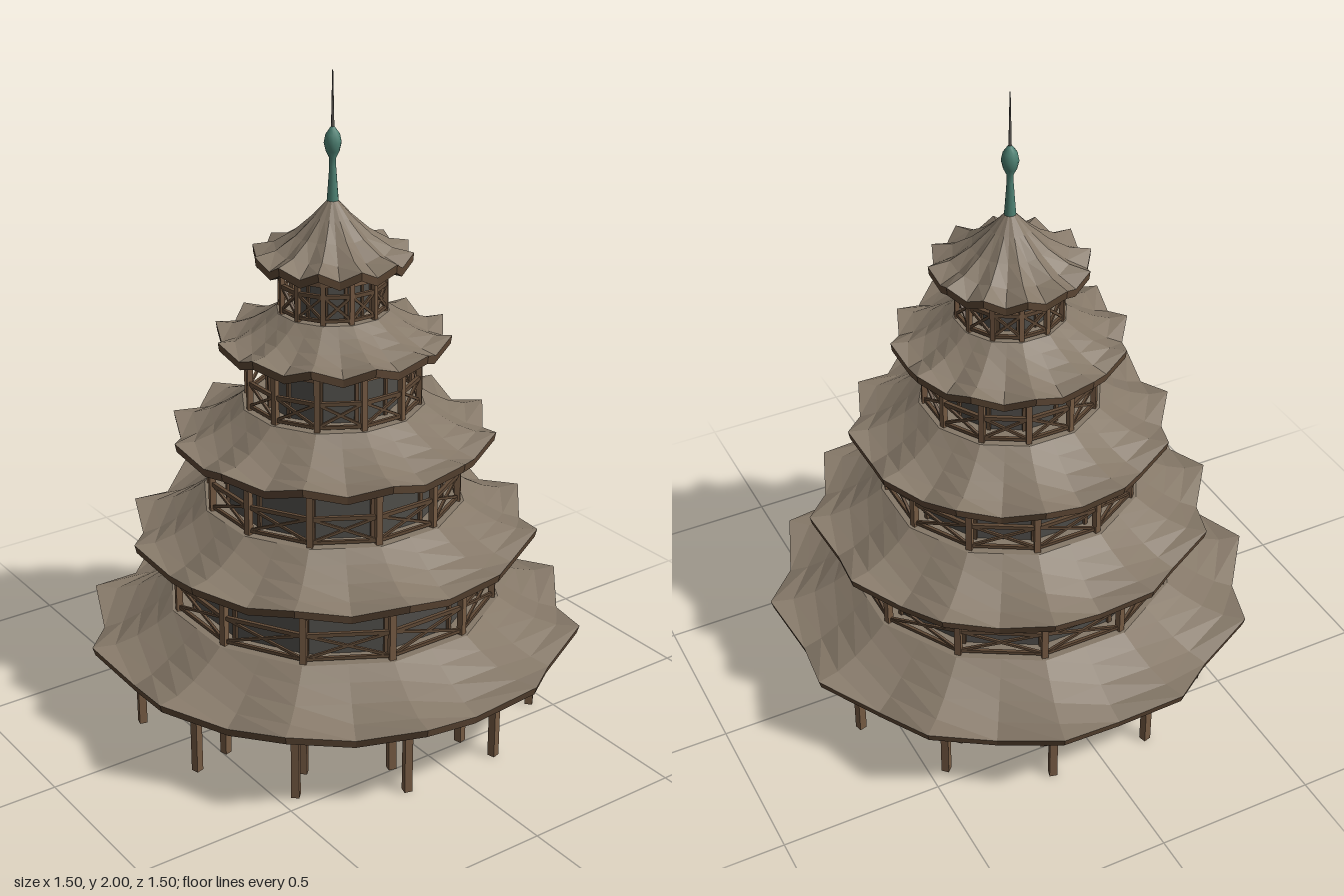
import * as THREE from 'three';
import { mergeGeometries } from 'three/addons/utils/BufferGeometryUtils.js';

const SIDES = 12;
const STEP = Math.PI / SIDES; // odd steps are corners, even steps are mid-sides

const material = (name, color, extra = {}) => {
  const m = new THREE.MeshStandardMaterial({ color, ...extra });
  m.name = name;
  return m;
};

const polar = (r, k, y) => new THREE.Vector3(r * Math.cos(k * STEP), y, r * Math.sin(k * STEP));

// A 24-point ring whose corners and mid-sides differ in radius and height
function ring(rCorner, rMid, yCorner, yMid) {
  return Array.from({ length: SIDES * 2 }, (_, k) =>
    k % 2 ? polar(rCorner, k, yCorner) : polar(rMid, k, yMid));
}

// Flat-faced skin joining successive rings
function skin(rings) {
  const pos = [];
  const n = SIDES * 2;
  for (let j = 0; j < rings.length - 1; j++) {
    for (let i = 0; i < n; i++) {
      const a = rings[j][i], b = rings[j][(i + 1) % n];
      const c = rings[j + 1][i], d = rings[j + 1][(i + 1) % n];
      for (const p of [a, b, c, b, d, c]) pos.push(p.x, p.y, p.z);
    }
  }
  const g = new THREE.BufferGeometry();
  g.setAttribute('position', new THREE.Float32BufferAttribute(pos, 3));
  g.computeVertexNormals();
  return g;
}

// Square bar between two points
function bar(a, b, w, h = w) {
  const g = new THREE.BoxGeometry(w, h, a.distanceTo(b));
  const o = new THREE.Object3D();
  o.position.copy(a).add(b).multiplyScalar(0.5);
  o.lookAt(b);
  o.updateMatrix();
  return g.applyMatrix4(o.matrix);
}

// Upright post at a corner, turned to face outwards
function post(r, k, y0, y1, w) {
  const p = polar(r, k, (y0 + y1) / 2);
  return new THREE.BoxGeometry(w, y1 - y0, w).rotateY(-k * STEP).translate(p.x, p.y, p.z);
}

export function createModel() {
  const model = new THREE.Group();
  const shingle = material('shingle', 0x857868, { flatShading: true });
  const wood = material('wood', 0x755a43);
  const trim = material('eaveTrim', 0x5e4835);
  const soffitMat = material('soffit', 0x4a3a2c, { flatShading: true });
  const wallMat = material('wall', 0x504e4a, { flatShading: true });
  const copper = material('copper', 0x4d8072);
  const iron = material('iron', 0x58544f);

  const add = (name, geometry, mat, parent = model) => {
    const m = new THREE.Mesh(geometry, mat);
    m.name = name;
    parent.add(m);
    return m;
  };

  // Wavy roof with upturned corners, a fascia and a soffit
  function addRoof(name, { rOut, rIn, yEave, yTop, lift, rSoffit }) {
    const group = new THREE.Group();
    group.name = name;
    const cos = Math.cos(STEP);
    const rows = [1, 0.8, 0.55, 0.28, 0].map((s) => {
      const r = rOut + (rIn - rOut) * s;
      const y = yEave + (yTop - yEave) * Math.pow(s, 1.5);
      return ring(r, r * cos * (1 - 0.04 * (1 - s)), y + lift * (1 - s) ** 2, y);
    });
    const eave = rows[rows.length - 1];
    const thick = 0.026;
    const lower = eave.map((p) => new THREE.Vector3(p.x * 0.99, p.y - thick, p.z * 0.99));
    const y = yEave - thick;
    const inner = ring(rSoffit, rSoffit * cos, y + 0.008, y + 0.008);
    add('shingles', skin([ring(0, 0, yTop, yTop), ...rows]), shingle, group);
    add('fascia', skin([eave, lower]), trim, group);
    add('soffit', skin([lower, inner]), soffitMat, group);
    model.add(group);
  }

  // Gallery storey: inner wall, posts, top beams and crossed railings
  function addStorey(name, { r, rWall, y0, y1, rail, w }) {
    const group = new THREE.Group();
    group.name = name;
    const wall = new THREE.CylinderGeometry(rWall, rWall, y1 - y0 + 0.02, SIDES, 1, true, STEP);
    add('wall', wall.translate(0, (y0 + y1) / 2 + 0.01, 0), wallMat, group);
    const frame = [], railing = [], studs = [];
    for (let k = 1; k < SIDES * 2; k += 2) {
      const at = (y) => [polar(r, k, y), polar(r, k + 2, y)];
      const [a, b] = at(y0 + 0.012), [c, d] = at(y0 + rail);
      frame.push(post(r, k, y0 - 0.01, y1 + 0.01, w), bar(...at(y1 - 0.008), w * 0.8, 0.02));
      railing.push(bar(a, b, 0.01), bar(c, d, 0.012), bar(a, d, 0.008), bar(b, c, 0.008));
      studs.push(post(rWall, k, y0, y1, w * 0.7));
    }
    add('posts', mergeGeometries(frame), wood, group);
    add('railings', mergeGeometries(railing), trim, group);
    add('wallStuds', mergeGeometries(studs), trim, group);
    model.add(group);
  }

  // Ground floor: stair drum and two rings of posts
  add('stairDrum', new THREE.CylinderGeometry(0.14, 0.14, 0.23, 24).translate(0, 0.115, 0), wood);
  const ground = [], beams = [];
  for (let k = 1; k < SIDES * 2; k += 2) {
    ground.push(post(0.63, k, 0, 0.24, 0.024), post(0.505, k, 0, 0.235, 0.024));
    beams.push(bar(polar(0.63, k, 0.223), polar(0.63, k + 2, 0.223), 0.02));
  }
  add('groundPosts', mergeGeometries(ground), wood);
  add('groundBeams', mergeGeometries(beams), wood);

  // Roofs from bottom to top
  [
    { rOut: 0.776, rIn: 0.52, yEave: 0.247, yTop: 0.37, lift: 0.043, rSoffit: 0.02 },
    { rOut: 0.632, rIn: 0.405, yEave: 0.572, yTop: 0.69, lift: 0.04, rSoffit: 0.44 },
    { rOut: 0.497, rIn: 0.28, yEave: 0.885, yTop: 1.0, lift: 0.038, rSoffit: 0.33 },
    { rOut: 0.357, rIn: 0.17, yEave: 1.19, yTop: 1.29, lift: 0.034, rSoffit: 0.19 },
    { rOut: 0.24, rIn: 0.012, yEave: 1.443, yTop: 1.625, lift: 0.03, rSoffit: 0.1 },
  ].forEach((p, i) => addRoof(`roof${i + 1}`, p));

  // Gallery storeys between the roofs
  [
    { r: 0.5, rWall: 0.45, y0: 0.37, y1: 0.555, rail: 0.09, w: 0.02 },
    { r: 0.385, rWall: 0.335, y0: 0.69, y1: 0.865, rail: 0.088, w: 0.019 },
    { r: 0.262, rWall: 0.2, y0: 1.0, y1: 1.17, rail: 0.085, w: 0.017 },
    { r: 0.158, rWall: 0.11, y0: 1.29, y1: 1.423, rail: 0.085, w: 0.014 },
  ].forEach((p, i) => addStorey(`storey${i + 1}`, p));

  // Copper finial and spike
  const profile = [[0.019, 1.6], [0.015, 1.65], [0.01, 1.72], [0.01, 1.745], [0.02, 1.765],
    [0.026, 1.79], [0.021, 1.815], [0.009, 1.832], [0, 1.842]];
  add('finial', new THREE.LatheGeometry(profile.map(([x, y]) => new THREE.Vector2(x, y)), 12), copper);
  add('spike', new THREE.CylinderGeometry(0.0015, 0.005, 0.17, 8).translate(0, 1.915, 0), iron);
  return model;
}
